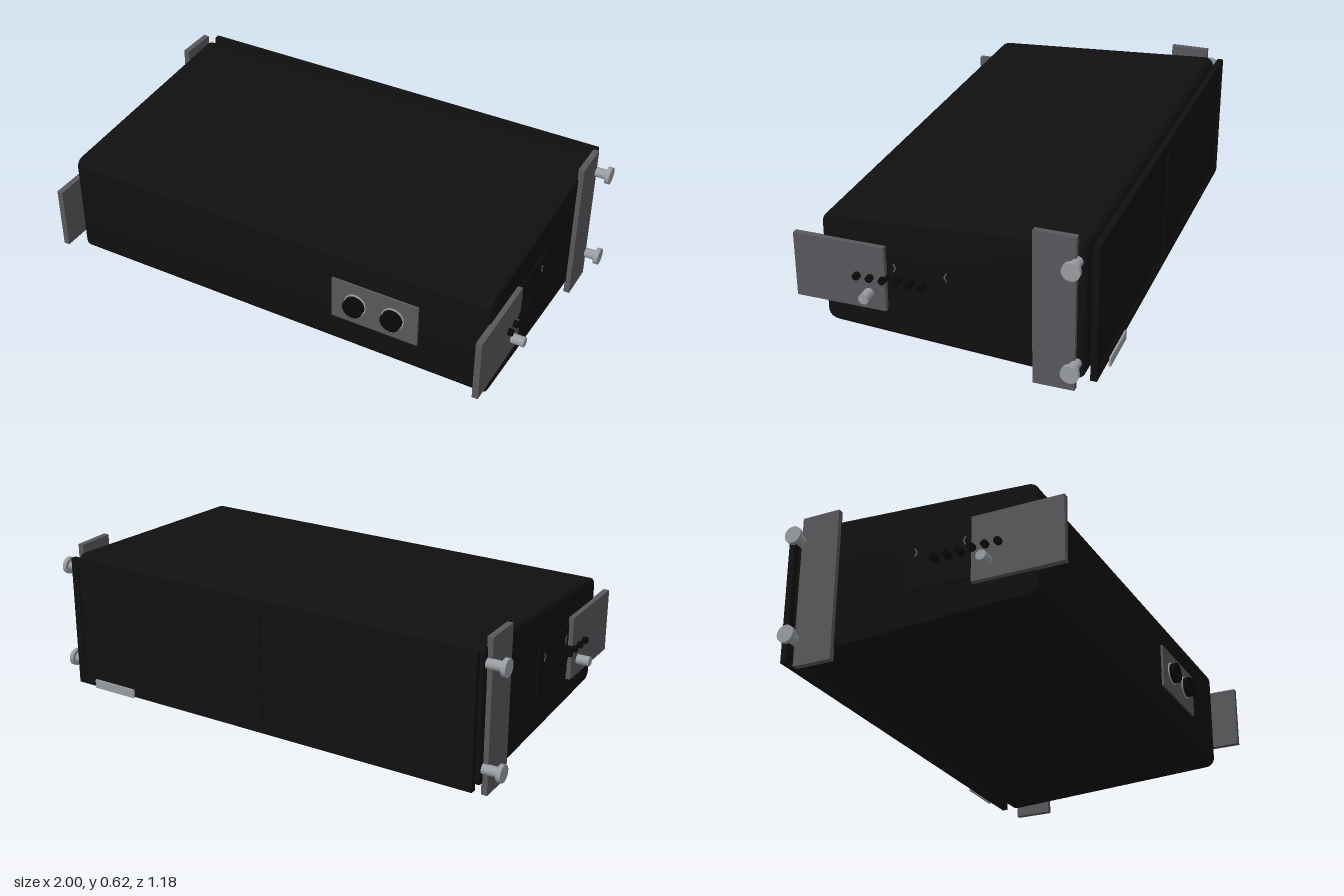
import * as THREE from 'three';
import { toCreasedNormals } from 'three/addons/utils/BufferGeometryUtils.js';

const mat = (name, color) => {
  const m = new THREE.MeshStandardMaterial({ color });
  m.name = name;
  return m;
};

// Polygon with rounded corners
function roundedShape(points, r) {
  const s = new THREE.Shape();
  const v = points.map(p => new THREE.Vector2(...p));
  v.forEach((p, i) => {
    const prev = v[(i + v.length - 1) % v.length], next = v[(i + 1) % v.length];
    const a = prev.clone().sub(p).setLength(r).add(p);
    const b = next.clone().sub(p).setLength(r).add(p);
    if (i === 0) s.moveTo(a.x, a.y); else s.lineTo(a.x, a.y);
    s.quadraticCurveTo(p.x, p.y, b.x, b.y);
  });
  s.closePath();
  return s;
}

export function createModel() {
  const model = new THREE.Group();
  model.name = 'loudspeakerCabinet';
  const black = mat('cabinet black', 0x101010);
  const deepBlack = mat('deep black', 0x080808);
  const steel = mat('dark steel', 0x58585c);
  const silver = mat('silver', 0x989ca0);

  const add = (parent, name, geo, material, x = 0, y = 0, z = 0) => {
    const m = new THREE.Mesh(geo, material);
    m.name = name;
    m.position.set(x, y, z);
    parent.add(m);
    return m;
  };
  // Box given by its min and max corners
  const box = (parent, name, material, a, b) => add(parent, name,
    new THREE.BoxGeometry(b[0] - a[0], b[1] - a[1], b[2] - a[2]), material,
    (a[0] + b[0]) / 2, (a[1] + b[1]) / 2, (a[2] + b[2]) / 2);
  // Cylinder along x between x0 and x1
  const rod = (parent, name, material, r, x0, x1, y, z) => add(parent, name,
    new THREE.CylinderGeometry(r, r, x1 - x0, 24).rotateZ(Math.PI / 2), material,
    (x0 + x1) / 2, y, z);

  // Wedge-shaped cabinet, extruded across the width
  const bevel = 0.012, half = 0.917;
  const profile = roundedShape([
    [-0.467, 0.102], [0.517, 0.049], [0.517, 0.577], [-0.467, 0.522]], 0.03);
  const body = new THREE.ExtrudeGeometry(profile, {
    depth: 2 * (half - bevel), bevelEnabled: true, bevelSize: bevel,
    bevelThickness: bevel, bevelSegments: 3, curveSegments: 6 });
  body.translate(0, 0, -(half - bevel)).rotateY(Math.PI / 2);
  add(model, 'cabinet', toCreasedNormals(body, 0.6), black);

  // Grille: frame with two openings, recessed panels, brace behind
  const grille = new THREE.Group();
  grille.name = 'grille';
  model.add(grille);
  const frame = new THREE.Shape([[-0.912, 0.04], [0.912, 0.04], [0.912, 0.586], [-0.912, 0.586]]
    .map(p => new THREE.Vector2(...p)));
  for (const [x0, x1] of [[-0.88, -0.008], [0.008, 0.88]]) {
    frame.holes.push(new THREE.Path([[x0, 0.075], [x0, 0.551], [x1, 0.551], [x1, 0.075]]
      .map(p => new THREE.Vector2(...p))));
    box(grille, 'grillePanel', black, [x0, 0.075, -0.567], [x1, 0.551, -0.551]);
  }
  add(grille, 'grilleFrame', new THREE.ExtrudeGeometry(frame,
    { depth: 0.025, bevelEnabled: false }), black, 0, 0, -0.572);
  box(grille, 'grilleBrace', deepBlack, [-0.065, 0.09, -0.552], [0.065, 0.536, -0.537]);
  box(model, 'badgePlate', silver, [0.61, 0.044, -0.592], [0.81, 0.08, -0.584]);

  // Connector plate with two sockets
  box(model, 'connectorPlate', steel, [0.272, 0.225, 0.47], [0.637, 0.407, 0.488]);
  for (const x of [0.375, 0.535]) {
    const disc = (name, r, depth, material, z) => add(model, name,
      new THREE.CylinderGeometry(r, r, depth, 32).rotateX(Math.PI / 2), material, x, 0.317, z);
    disc('socketRim', 0.047, 0.006, silver, 0.49);
    disc('socket', 0.042, 0.03, deepBlack, 0.502);
  }

  // Rigging hardware, built on +x and mirrored through positions
  for (const side of [1, -1]) {
    const rig = new THREE.Group();
    rig.name = side > 0 ? 'riggingLeft' : 'riggingRight';
    model.add(rig);
    box(rig, 'gridBar', steel, [0.913, 0, -0.497], [0.937, 0.62, -0.338]);
    box(rig, 'hingePlate', steel, [0.913, 0.18, 0.228], [0.937, 0.442, 0.59]);
    box(rig, 'sidePanel', black, [0.91, 0.205, -0.06], [0.922, 0.42, 0.22]);
    for (const y of [0.107, 0.519]) {
      rod(rig, 'pinShaft', silver, 0.02, 0.915, 0.985, y, -0.497);
      rod(rig, 'pinHead', silver, 0.035, 0.982, 1, y, -0.497);
    }
    rod(rig, 'hingePin', silver, 0.02, 0.93, 0.99, 0.246, 0.293);
    // Row of angle-setting studs
    for (let i = 0; i < 6; i++)
      rod(rig, 'angleStud', deepBlack, 0.014, 0.91, 0.955, 0.312, 0.08 + i * 0.0515);
    // Small arrow marks at the ends of the side panel
    for (const [z, dir] of [[0.194, 1], [-0.004, -1]])
      for (const s of [1, -1]) {
        const bar = box(rig, 'arrowMark', steel,
          [0.92, 0.3505 + s * 0.008, z - 0.0025], [0.925, 0.3705 + s * 0.008, z + 0.0025]);
        bar.position.y = 0.36 + s * 0.008;
        bar.rotation.x = s * dir * 0.5;
      }
    rig.children.forEach(m => { m.position.x *= side; });
  }
  return model;
}
